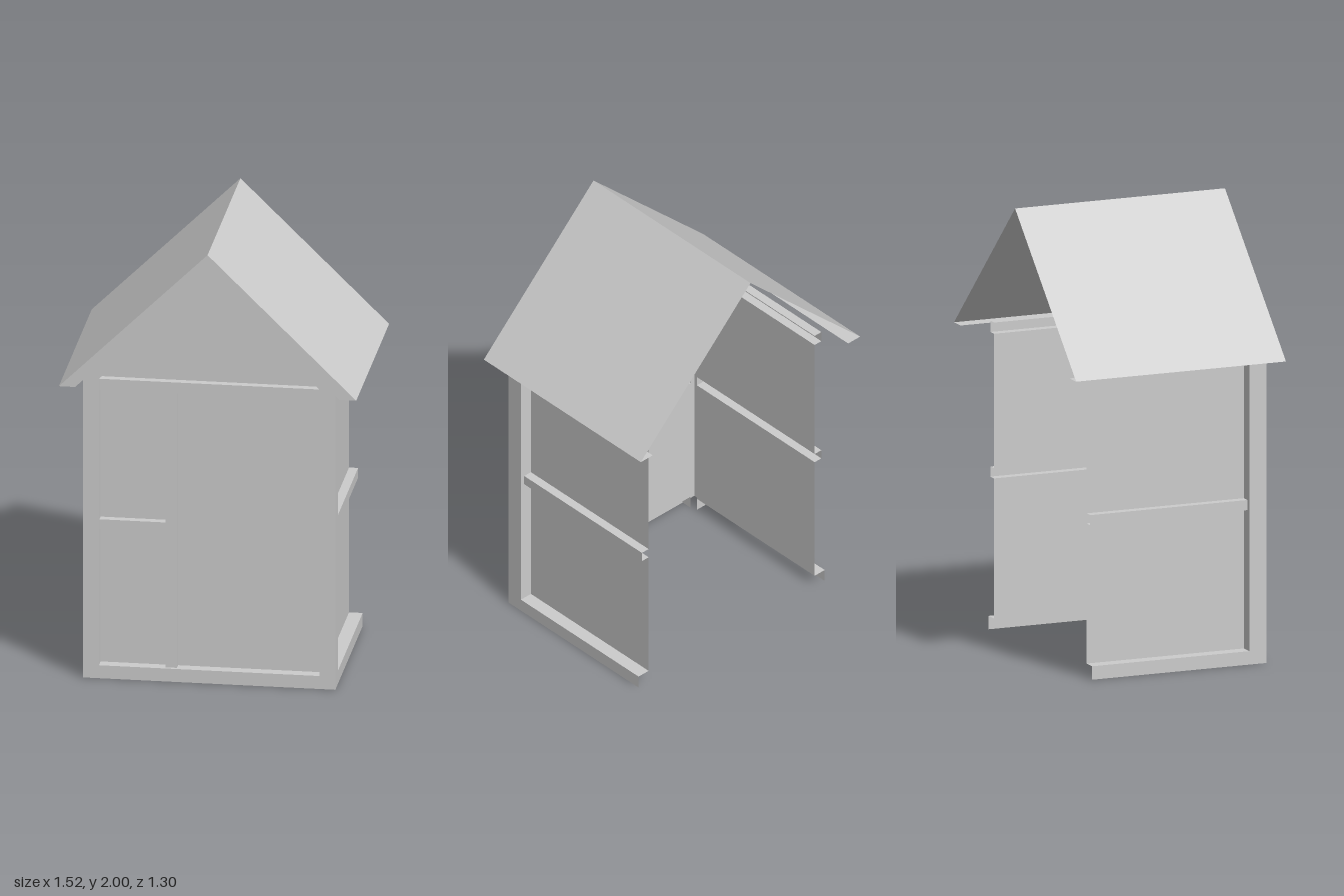
import * as THREE from 'three';

const material = new THREE.MeshStandardMaterial({ color: 0xcccccc, side: THREE.DoubleSide, flatShading: true });

// How a profile point (u, v) swept to t lands in space, per sweep axis
const place = {
  x: (u, v, t) => [t, v, u], // profile is (z, y)
  y: (u, v, t) => [u, t, v], // profile is (x, z)
  z: (u, v, t) => [u, v, t], // profile is (x, y)
};

// Thin folded sheet: an open profile swept from a to b along one axis
function sheet(name, axis, profile, a, b) {
  const at = place[axis];
  const position = [];
  for (let i = 0; i < profile.length - 1; i++) {
    const [p, q] = [profile[i], profile[i + 1]];
    const [A, B, C, D] = [at(...p, a), at(...q, a), at(...q, b), at(...p, b)];
    position.push(...A, ...B, ...C, ...A, ...C, ...D);
  }
  const geometry = new THREE.BufferGeometry();
  geometry.setAttribute('position', new THREE.Float32BufferAttribute(position, 3));
  geometry.computeVertexNormals();
  const mesh = new THREE.Mesh(geometry, material);
  mesh.name = name;
  return mesh;
}

// Flat face parallel to the front
function face(name, points, z) {
  const shape = new THREE.Shape(points.map(([x, y]) => new THREE.Vector2(x, y)));
  const mesh = new THREE.Mesh(new THREE.ShapeGeometry(shape), material);
  mesh.position.z = z;
  mesh.name = name;
  return mesh;
}

export function createModel() {
  const shed = new THREE.Group();
  shed.name = 'shed';
  const add = (...parts) => shed.add(...parts);

  const front = 0.45, frontPanel = 0.40, frontRail = 0.435;
  const postIn = 0.485, postOut = 0.555, postBack = 0.37;
  const sidePanel = 0.495, sideRail = 0.535, back = -0.38;
  const sillTop = 0.06, midLow = 0.685, midTop = 0.73, beamLow = 1.33, beamTop = 1.38;
  const stileLeft = -0.195, stileRight = -0.144;
  const ridge = 2, eave = 1.36, roofHalf = 0.654, slope = (ridge - eave) / roofHalf;
  const lining = 1.93, rafterLow = 1.86;
  const drop = (top, x) => top - slope * Math.abs(x);
  const reach = (top, y) => (top - y) / slope;

  // Side walls with sill and two rails, and the front corner posts
  const wall = [
    [postOut, 0], [postOut, sillTop], [sidePanel, sillTop],
    [sidePanel, midLow], [sideRail, midLow], [sideRail, midTop], [sidePanel, midTop],
    [sidePanel, beamLow], [sideRail, beamLow], [sideRail, beamTop], [sidePanel, beamTop],
  ];
  const post = [
    [postIn, frontPanel], [postIn, front], [postOut, front], [postOut, postBack], [sidePanel, postBack],
  ];
  for (const [side, s] of [['left', 1], ['right', -1]]) {
    const mirror = (points) => points.map(([u, v]) => [u * s, v]);
    add(sheet(side + 'Wall', 'z', mirror(wall), back, postBack));
    add(sheet(side + 'Post', 'y', mirror(post), 0, drop(lining, postOut)));

    // Rafter face and roof fascia on each slope
    add(face(side + 'Rafter', mirror([
      [0, lining], [postOut, drop(lining, postOut)], [postIn, drop(rafterLow, postIn)], [0, rafterLow],
    ]), front));
    add(face(side + 'Fascia', mirror([
      [0, ridge], [roofHalf, eave], [reach(lining, eave), eave], [0, lining],
    ]), 0.5));
  }

  // Front wall framing: hollow channels open to the inside
  add(sheet('frontSill', 'x', [[front, 0], [front, sillTop], [frontPanel, sillTop]], -postIn, postIn));
  const rail = (low, top) => [[frontPanel, low], [frontRail, low], [frontRail, top], [frontPanel, top]];
  add(sheet('frontBeam', 'x', rail(beamLow, beamTop), -postIn, postIn));
  add(sheet('frontMidRail', 'x', rail(midLow, midTop), -postIn, stileLeft));
  add(sheet('doorStile', 'y', [
    [stileLeft, frontPanel], [stileLeft, frontRail], [stileRight, frontRail], [stileRight, frontPanel],
  ], sillTop, beamLow));

  // Front wall panels
  const panel = (name, x0, x1, y0, y1) => sheet(name, 'x', [[frontPanel, y0], [frontPanel, y1]], x0, x1);
  add(panel('doorPanel', stileRight, postIn, sillTop, beamLow));
  add(panel('lowerPanel', -postIn, stileLeft, sillTop, midLow));
  add(panel('upperPanel', -postIn, stileLeft, midTop, beamLow));

  // Gable panel and the reveals that step it back from rafters and fascia
  const vee = (top, y) => [[-reach(top, y), y], [0, top], [reach(top, y), y]];
  add(face('gablePanel', vee(rafterLow, beamTop), frontPanel));
  add(sheet('gableReveal', 'z', vee(rafterLow, beamTop), frontPanel, front));
  add(sheet('fasciaReveal', 'z', vee(lining, eave), front, 0.5));

  // Roof skin with its eave soffits
  const soffit = reach(lining, eave);
  add(sheet('roof', 'z', [
    [-soffit, eave], [-roofHalf, eave], [0, ridge], [roofHalf, eave], [soffit, eave],
  ], -0.5, 0.5));

  // The shed stands turned slightly on its plot
  shed.rotation.y = -Math.PI / 12;
  const model = new THREE.Group();
  model.name = 'turnedShed';
  model.add(shed);
  return model;
}
